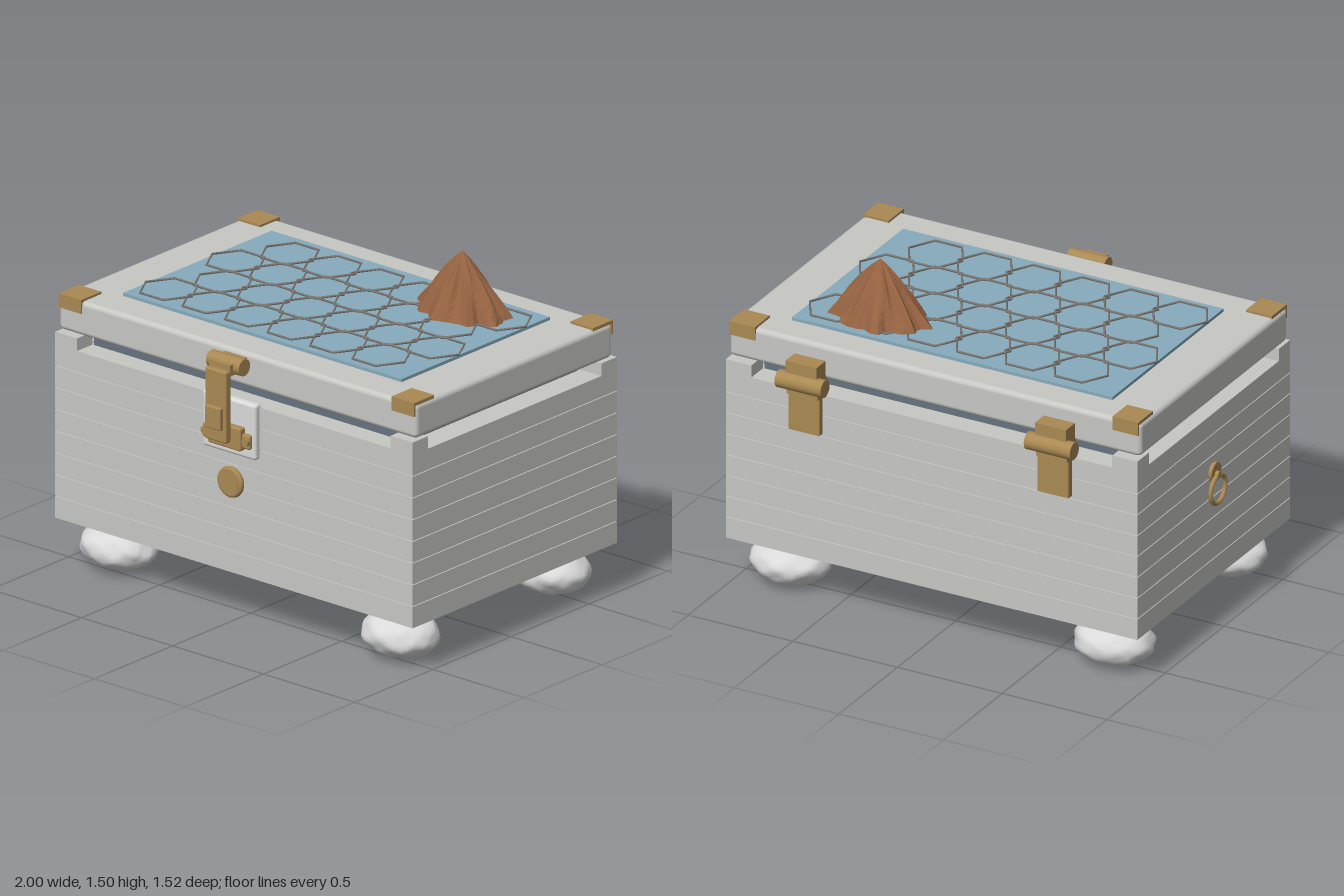
import * as THREE from 'three';
import { mergeVertices } from 'three/addons/utils/BufferGeometryUtils.js';
import { RoundedBoxGeometry } from 'three/addons/geometries/RoundedBoxGeometry.js';

const material = (name, color) => Object.assign(new THREE.MeshStandardMaterial({ color }), { name });

export function createModel() {
  const root = new THREE.Group();
  root.name = 'chest';
  const wood = material('pale grey wood', 0xc7c7c4);
  const stone = material('light stone', 0xdadada);
  const brass = material('brass', 0xa98953);
  const slate = material('slate lining', 0x66737f);
  const blue = material('blue inlay', 0x86abbc);
  const wire = material('grey wire', 0x7d7873);
  const rock = material('brown rock', 0x966341);
  rock.flatShading = true;

  const add = (name, geometry, mat, parent = root) => {
    const mesh = new THREE.Mesh(geometry, mat);
    mesh.name = name;
    parent.add(mesh);
    return mesh;
  };
  // Box given by its limits on each axis; r rounds the edges
  const box = (name, mat, [x0, x1], [y0, y1], [z0, z1], r = 0, parent = root) => {
    const size = [x1 - x0, y1 - y0, z1 - z0];
    const geometry = r ? new RoundedBoxGeometry(...size, 3, r) : new THREE.BoxGeometry(...size);
    geometry.translate((x0 + x1) / 2, (y0 + y1) / 2, (z0 + z1) / 2);
    return add(name, geometry, mat, parent);
  };
  const rod = (name, mat, x, y, z, radius, length, axis, parent = root) => {
    const geometry = new THREE.CylinderGeometry(radius, radius, length, 24);
    if (axis === 'x') geometry.rotateZ(Math.PI / 2);
    if (axis === 'z') geometry.rotateX(Math.PI / 2);
    return add(name, geometry.translate(x, y, z), mat, parent);
  };

  const X = [-0.965, 1.0], Z = [-0.677, 0.628];
  const innerZ = [-0.577, 0.53];

  // Body: a core clad in eight courses of planks
  const body = new THREE.Group();
  body.name = 'body';
  root.add(body);
  box('bodyCore', wood, [X[0] + 0.006, X[1] - 0.006], [0.222, 0.99], [Z[0] + 0.006, Z[1] - 0.006], 0, body);
  const rows = 8, step = 0.097, gap = 0.002;
  for (let i = 0; i < rows; i++) {
    const y = [0.22 + i * step + (i ? gap : 0), 0.22 + (i + 1) * step - gap];
    box('frontPlank', wood, X, y, [innerZ[1] + gap, Z[1]], 0, body);
    box('backPlank', wood, X, y, [Z[0], innerZ[0] - gap], 0, body);
    box('leftPlank', wood, [X[1] - 0.1, X[1]], y, innerZ, 0, body);
    box('rightPlank', wood, [X[0], X[0] + 0.1], y, innerZ, 0, body);
  }
  for (const x of [[X[0], -0.845], [0.878, X[1]]])
    for (const z of [[Z[0], innerZ[0]], [innerZ[1], Z[1]]])
      box('cornerBlock', wood, x, [0.99, 1.05], z, 0, body);
  box('lining', slate, [-0.845, 0.877], [0.98, 1.07], [-0.567, 0.52], 0, body);
  box('plinth', wood, [-0.885, 0.915], [0.188, 0.225], innerZ, 0, body);

  // Feet: lumpy boulders
  const foot = (x, z, seed) => {
    let g = new THREE.IcosahedronGeometry(1, 6);
    g.deleteAttribute('normal');
    g.deleteAttribute('uv');
    g = mergeVertices(g, 1e-4);
    const p = g.attributes.position, v = new THREE.Vector3();
    for (let i = 0; i < p.count; i++) {
      v.fromBufferAttribute(p, i);
      const bump = Math.sin(v.x * 5 + seed) * Math.sin(v.y * 6 + seed * 2) * Math.sin(v.z * 5 + 1)
        + 0.6 * Math.sin(v.x * 9 - v.z * 7 + seed) * Math.cos(v.y * 8 + v.z * 5);
      v.multiplyScalar(1 + 0.045 * bump);
      p.setXYZ(i, v.x * 0.176, v.y * 0.098, v.z * 0.15);
    }
    g.computeVertexNormals();
    add('foot', g, stone).position.set(x, 0.1, z);
  };
  [[-0.76, 0.456], [0.787, 0.456], [-0.76, -0.505], [0.787, -0.505]].forEach(([x, z], i) => foot(x, z, i * 1.7));

  // Lid with brass corner caps
  box('lid', wood, X, [1.056, 1.21], [-0.65, 0.607], 0.022);
  for (const x of [[-0.957, -0.834], [0.872, 0.995]])
    for (const [z, flange] of [[[0.485, 0.612], [0.604, 0.614]], [[-0.655, -0.53], [-0.657, -0.647]]]) {
      box('cornerCapTop', brass, x, [1.205, 1.22], z);
      box('cornerCapFlange', brass, x, [1.158, 1.22], flange);
    }

  // Inlay with a honeycomb of wire hexagons
  box('inlay', blue, [-0.75, 0.78], [1.2, 1.224], [-0.505, 0.443]);
  for (let row = 0; row < 4; row++)
    for (let i = 0; i < 6; i++) {
      const hexagon = new THREE.TorusGeometry(0.128, 0.005, 6, 6).rotateX(Math.PI / 2);
      add('hexagonWire', hexagon, wire)
        .position.set(-0.627 + i * 0.2335 + (row % 2 ? 0 : 0.115), 1.228, -0.345 + row * 0.213);
    }

  // Mountain: ridged cone with gullies that twist slightly
  const around = 40, levels = 8;
  const mountain = new THREE.CylinderGeometry(0, 1, 1, around, levels, true);
  const mp = mountain.attributes.position;
  for (let i = 0; i < mp.count; i++) {
    const down = 0.5 - mp.getY(i);
    const a = (i % (around + 1)) % around / around * Math.PI * 2;
    const r = Math.pow(down, 0.87) * (0.95 + 0.075 * Math.sin(9 * a + 2.5 * down)
      + 0.05 * Math.sin(14 * a - 3 * down + 1) + 0.03 * Math.sin(4 * a + 2));
    mp.setXYZ(i, r * Math.sin(a) * 0.232, (1 - down) * 0.275, r * Math.cos(a) * 0.16);
  }
  mountain.computeVertexNormals();
  add('mountain', mountain, rock).position.set(0.46, 1.22, -0.32);

  // Latch: backing plate, staple, hinged hasp
  const latch = new THREE.Group();
  latch.name = 'latch';
  root.add(latch);
  const cx = 0.0125;
  const wide = half => [cx - half, cx + half];
  box('latchBacking', stone, wide(0.147), [0.762, 1.01], [0.615, 0.657], 0.014, latch);
  box('stapleBase', brass, wide(0.13), [0.81, 0.875], [0.65, 0.675], 0.01, latch);
  box('stapleBlock', brass, wide(0.09), [0.798, 0.9], [0.65, 0.687], 0.008, latch);
  for (const s of [-1, 1]) rod('stapleBolt', brass, cx + s * 0.112, 0.845, 0.675, 0.018, 0.02, 'z', latch);
  box('haspMount', brass, wide(0.06), [1.14, 1.19], [0.6, 0.66], 0, latch);
  rod('haspBarrel', brass, cx, 1.167, 0.66, 0.037, 0.18, 'x', latch);
  box('haspLink', brass, wide(0.058), [1.135, 1.185], [0.66, 0.715], 0, latch);
  box('haspArm', brass, wide(0.058), [0.84, 1.16], [0.708, 0.742], 0.008, latch);
  box('haspPin', brass, wide(0.03), [0.83, 0.87], [0.68, 0.715], 0, latch);
  box('haspBoss', brass, wide(0.043), [0.9, 1.0], [0.735, 0.762], 0.006, latch);

  // Round medallion below the latch
  rod('medallion', brass, cx, 0.63, 0.64, 0.052, 0.035, 'z');
  add('medallionRim', new THREE.TorusGeometry(0.055, 0.014, 10, 32), brass).position.set(cx, 0.63, 0.642);

  // Back hinges
  for (const x of [-0.578, 0.612]) {
    const hinge = new THREE.Group();
    hinge.name = 'hinge';
    root.add(hinge);
    const w = [x - 0.074, x + 0.074];
    box('hingeUpperLeaf', brass, w, [1.05, 1.142], [-0.728, -0.64], 0, hinge);
    rod('hingeBarrel', brass, x, 1.05, -0.72, 0.039, 0.22, 'x', hinge);
    box('hingeLink', brass, w, [0.985, 1.05], [-0.718, -0.68], 0, hinge);
    box('hingeLowerLeaf', brass, w, [0.815, 1.0], [-0.705, -0.67], 0, hinge);
  }

  // Ring pull on the right side
  const pull = new THREE.Group();
  pull.name = 'ringPull';
  root.add(pull);
  rod('ringMount', brass, -0.97, 0.725, -0.03, 0.042, 0.022, 'x', pull);
  rod('ringEye', brass, -0.98, 0.715, -0.03, 0.016, 0.034, 'x', pull);
  const ring = new THREE.TorusGeometry(0.063, 0.01, 10, 32).rotateY(Math.PI / 2);
  add('ring', ring, brass, pull).position.set(-0.988, 0.648, -0.03);
  return root;
}
